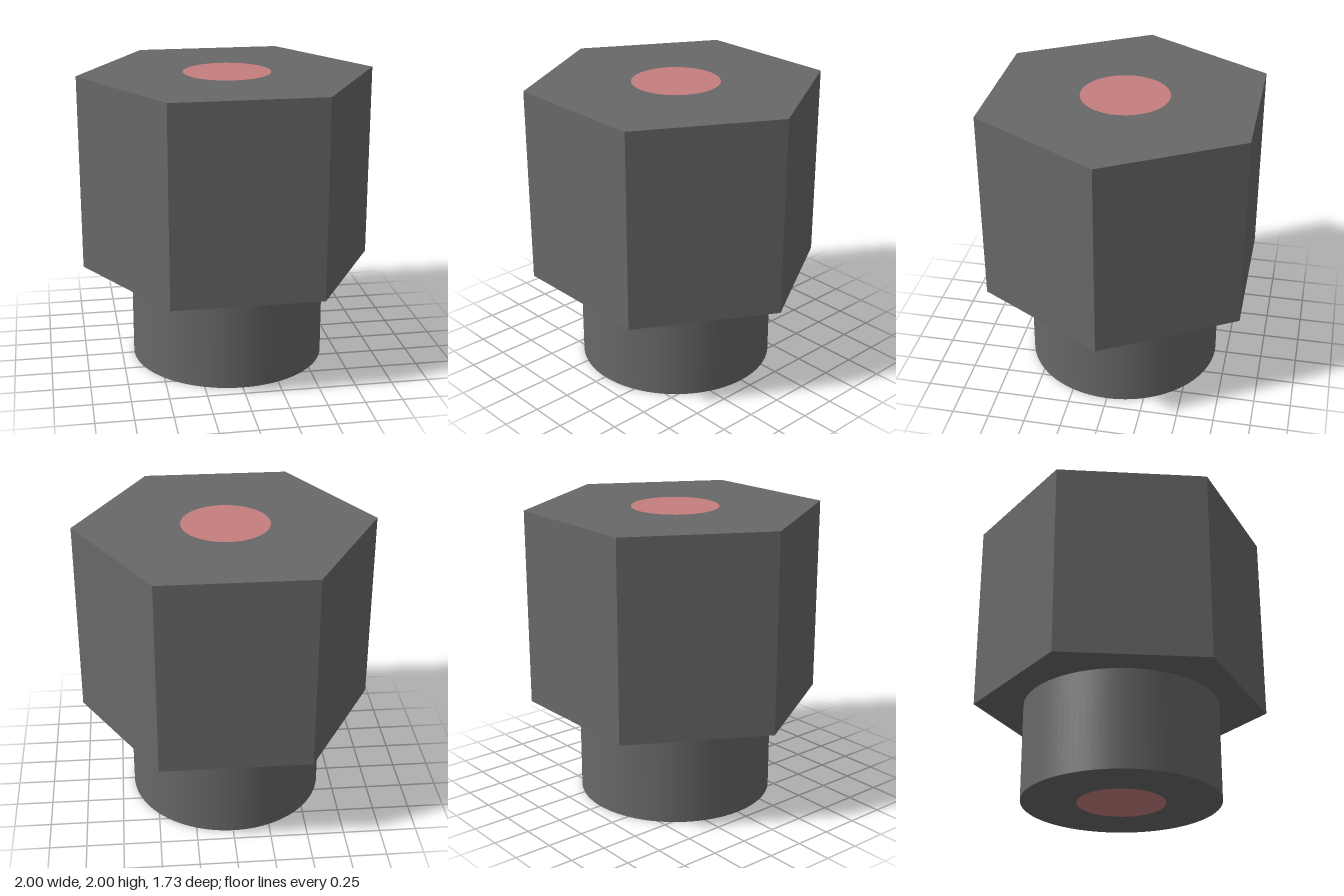
import * as THREE from 'three';

const HEX_RADIUS = 1, NECK_RADIUS = 0.665, CORE_RADIUS = 0.295;
const NECK_HEIGHT = 0.67, HEIGHT = 2, SEGMENTS = 96;

export function createModel() {
  const model = new THREE.Group();
  model.name = 'hexPlug';

  const darkGrey = new THREE.MeshStandardMaterial({ color: 0x686868 });
  darkGrey.name = 'darkGrey';
  const dustyRed = new THREE.MeshStandardMaterial({ color: 0xc67e7e });
  dustyRed.name = 'dustyRed';

  const add = (name, geometry, material, y = 0) => {
    const mesh = new THREE.Mesh(geometry, material);
    mesh.name = name;
    mesh.position.y = y;
    model.add(mesh);
  };

  // Hexagonal head with corners on the x axis, bored for the core
  const hexagon = new THREE.Shape();
  for (let i = 0; i < 6; i++) {
    const a = (i * Math.PI) / 3;
    hexagon[i ? 'lineTo' : 'moveTo'](HEX_RADIUS * Math.cos(a), HEX_RADIUS * Math.sin(a));
  }
  hexagon.closePath();
  hexagon.holes.push(new THREE.Path().absarc(0, 0, CORE_RADIUS, 0, Math.PI * 2, true));
  const head = new THREE.ExtrudeGeometry(hexagon, {
    depth: HEIGHT - NECK_HEIGHT, bevelEnabled: false, curveSegments: SEGMENTS,
  }).rotateX(-Math.PI / 2);
  add('hexHead', head, darkGrey, NECK_HEIGHT);

  // Round neck: smooth wall and a ring-shaped underside
  add('neckWall', new THREE.CylinderGeometry(NECK_RADIUS, NECK_RADIUS, NECK_HEIGHT, SEGMENTS, 1, true),
    darkGrey, NECK_HEIGHT / 2);
  add('neckUnderside', new THREE.RingGeometry(CORE_RADIUS, NECK_RADIUS, SEGMENTS).rotateX(Math.PI / 2), darkGrey);

  // Core running the full height, flush with both ends
  add('core', new THREE.CylinderGeometry(CORE_RADIUS, CORE_RADIUS, HEIGHT, SEGMENTS), dustyRed, HEIGHT / 2);

  return model;
}
